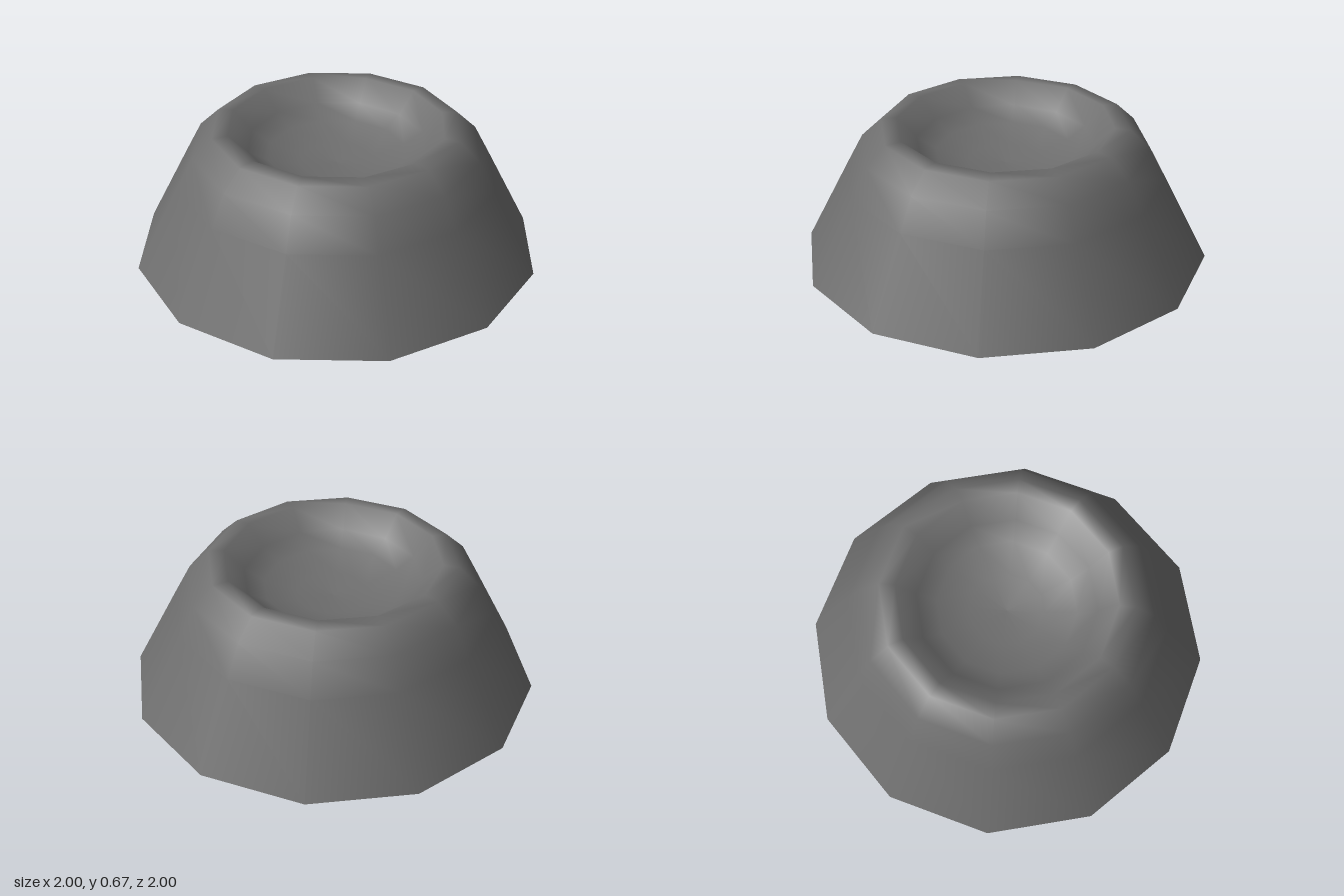
import * as THREE from 'three';

export function createModel() {
  const group = new THREE.Group();
  const material = new THREE.MeshStandardMaterial({ color: 0x6e6e6e, side: THREE.DoubleSide });

  // Turns a profile of [radius, height] pairs into a smooth twelve-sided surface
  const profile = [
    [1, 0], [0.785, 0.42], [0.705, 0.573], [0.607, 0.667], [0.53, 0.674], // outer slope and rim
    [0.435, 0.577], [0.34, 0.52], [0.18, 0.475], [0, 0.465],              // sunken bowl
  ].map(([r, y]) => new THREE.Vector2(r, y));

  // One open shell: sloping wall, rounded rim and shallow crater, no underside
  const crater = new THREE.Mesh(new THREE.LatheGeometry(profile, 12), material);
  crater.name = 'craterMound';
  group.add(crater);

  return group;
}
